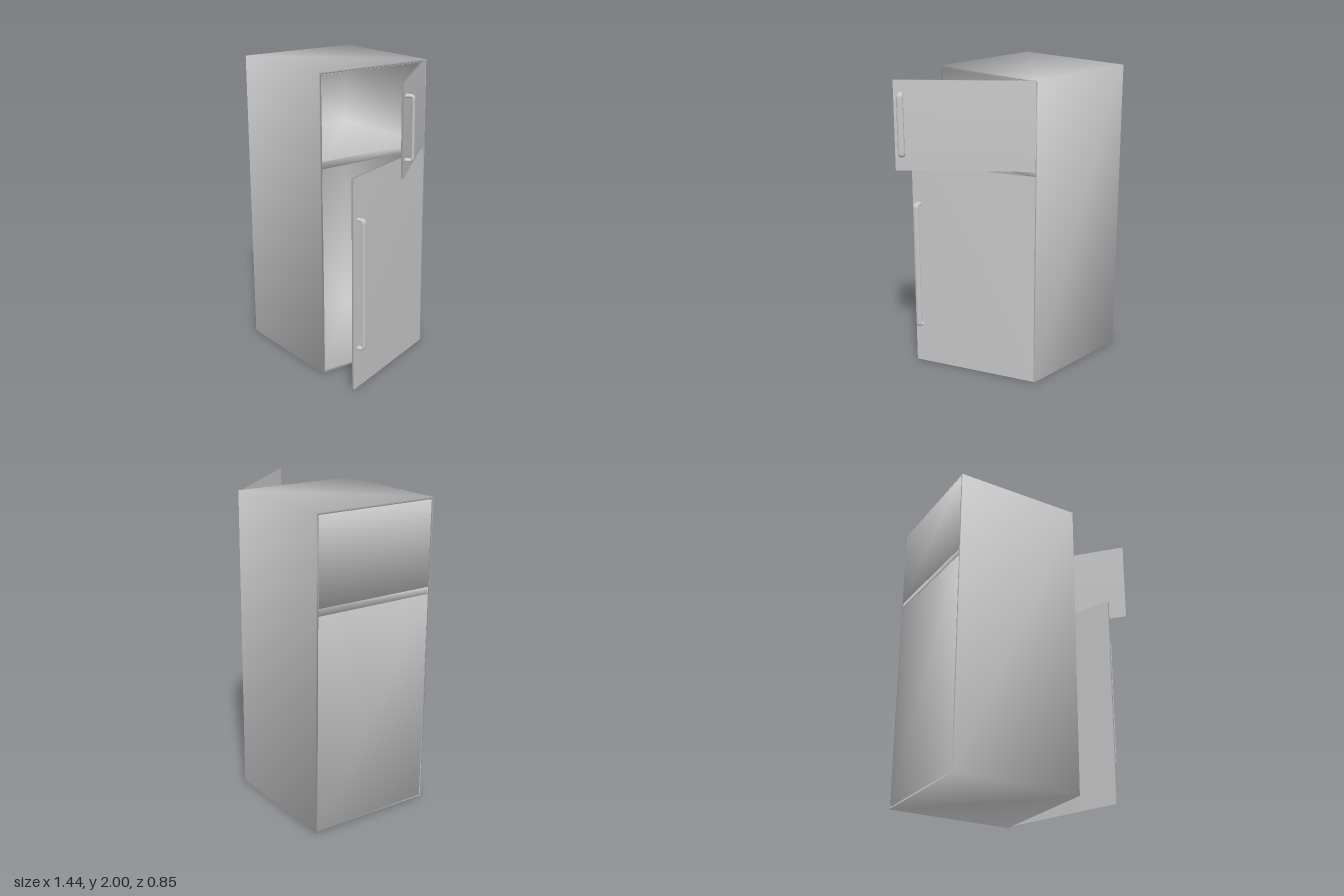
import * as THREE from 'three';
import { mergeVertices } from 'three/addons/utils/BufferGeometryUtils.js';

const X0 = -0.716, X1 = 0.13, HALF = 0.425;
// Compartments as [bottom, top]
const LOWER = [0.012, 1.4], UPPER = [1.445, 1.988];

// Shared corner normals give the soft shading across the panels
function soften(geo) {
  geo.deleteAttribute('normal');
  geo.deleteAttribute('uv');
  const merged = mergeVertices(geo, 1e-4);
  merged.clearGroups();
  merged.computeVertexNormals();
  return merged;
}

function rect(Type, z, y0, y1) {
  return new Type([[-z, y0], [z, y0], [z, y1], [-z, y1]].map(p => new THREE.Vector2(...p)));
}

export function createModel() {
  const model = new THREE.Group();
  const grey = new THREE.MeshStandardMaterial({ color: 0xc8c8c8, side: THREE.DoubleSide });
  grey.name = 'light grey enamel';

  function add(parent, name, geo) {
    const mesh = new THREE.Mesh(geo, grey);
    mesh.name = name;
    parent.add(mesh);
    return mesh;
  }

  // Cabinet: thin walls and a divider, extruded along x
  const frame = rect(THREE.Shape, HALF, 0, 2);
  for (const [a, b] of [LOWER, UPPER]) frame.holes.push(rect(THREE.Path, 0.41, a, b));
  const shell = new THREE.ExtrudeGeometry(frame, { depth: X1 - X0, bevelEnabled: false });
  shell.rotateY(Math.PI / 2).translate(X0, 0, 0);
  add(model, 'cabinet', soften(shell));

  // Compartment liners, open towards the doors and closed at the back
  for (const [name, [a, b]] of [['fridgeLiner', LOWER], ['freezerLiner', UPPER]]) {
    const depth = X1 - 0.002 + 0.72;
    const box = new THREE.BoxGeometry(depth, b - a - 0.004, 0.816);
    box.setIndex(Array.from(box.index.array).slice(6)); // drop the +x face
    box.translate(-0.72 + depth / 2, (a + b) / 2, 0);
    add(model, name, soften(box));
  }

  // Doors hinged on the rear edge of the opening, each with a bent bar handle
  function door(name, y0, y1, angle, h0, h1) {
    const group = new THREE.Group();
    group.name = name;
    group.position.set(0.134, 0, -0.415);
    group.rotation.y = angle;
    const slab = new THREE.BoxGeometry(0.016, y1 - y0, 0.86);
    slab.translate(-0.008, (y0 + y1) / 2, 0.43);
    add(group, name + 'Panel', soften(slab));

    const out = 0.046, r = 0.011, bend = 0.02;
    const v = (x, y) => new THREE.Vector3(x, y, 0);
    const lo = h0 + r, hi = h1 - r;
    const path = new THREE.CurvePath();
    path.add(new THREE.LineCurve3(v(-0.004, lo), v(out - bend, lo)));
    path.add(new THREE.QuadraticBezierCurve3(v(out - bend, lo), v(out, lo), v(out, lo + bend)));
    path.add(new THREE.LineCurve3(v(out, lo + bend), v(out, hi - bend)));
    path.add(new THREE.QuadraticBezierCurve3(v(out, hi - bend), v(out, hi), v(out - bend, hi)));
    path.add(new THREE.LineCurve3(v(out - bend, hi), v(-0.004, hi)));
    const bar = new THREE.TubeGeometry(path, 120, r, 10);
    bar.scale(1, 1, 1.9); // flattened grip
    bar.translate(0, 0, 0.815);
    add(group, name + 'Handle', bar);
    model.add(group);
  }
  door('fridgeDoor', 0.002, 1.405, 0.351, 0.27, 1.15);
  door('freezerDoor', 1.44, 2, 0.716, 1.53, 1.93);

  return model;
}
